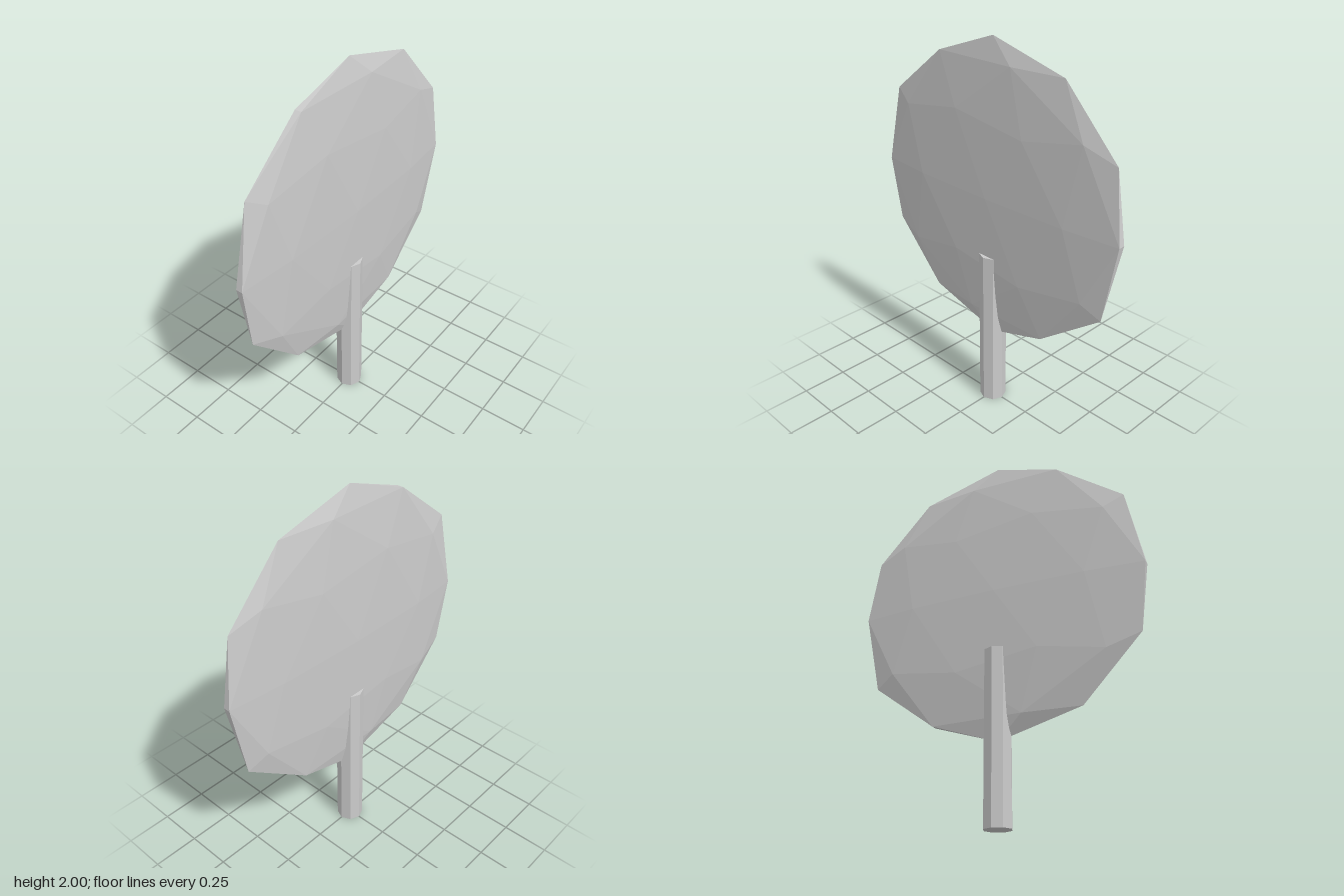
import * as THREE from 'three';

const material = new THREE.MeshStandardMaterial({ color: 0xcccccc, flatShading: true });

export function createModel() {
  const model = new THREE.Group();
  model.name = 'tree';

  // Octagonal trunk reaching into the crown
  const trunkHeight = 0.885;
  const trunk = new THREE.Mesh(new THREE.CylinderGeometry(0.071, 0.071, trunkHeight, 8), material);
  trunk.name = 'trunk';
  trunk.position.y = trunkHeight / 2;
  model.add(trunk);

  // Crown: faceted icosphere, turned so a vertex points straight up, then flattened
  const crownGeometry = new THREE.IcosahedronGeometry(1, 1);
  const golden = (1 + Math.sqrt(5)) / 2;
  crownGeometry.rotateZ(-Math.atan(1 / golden));
  crownGeometry.scale(0.831, 0.793, 0.056);
  crownGeometry.computeVertexNormals();
  const crown = new THREE.Mesh(crownGeometry, material);
  crown.name = 'crown';
  crown.position.y = 1.207;
  model.add(crown);

  return model;
}
